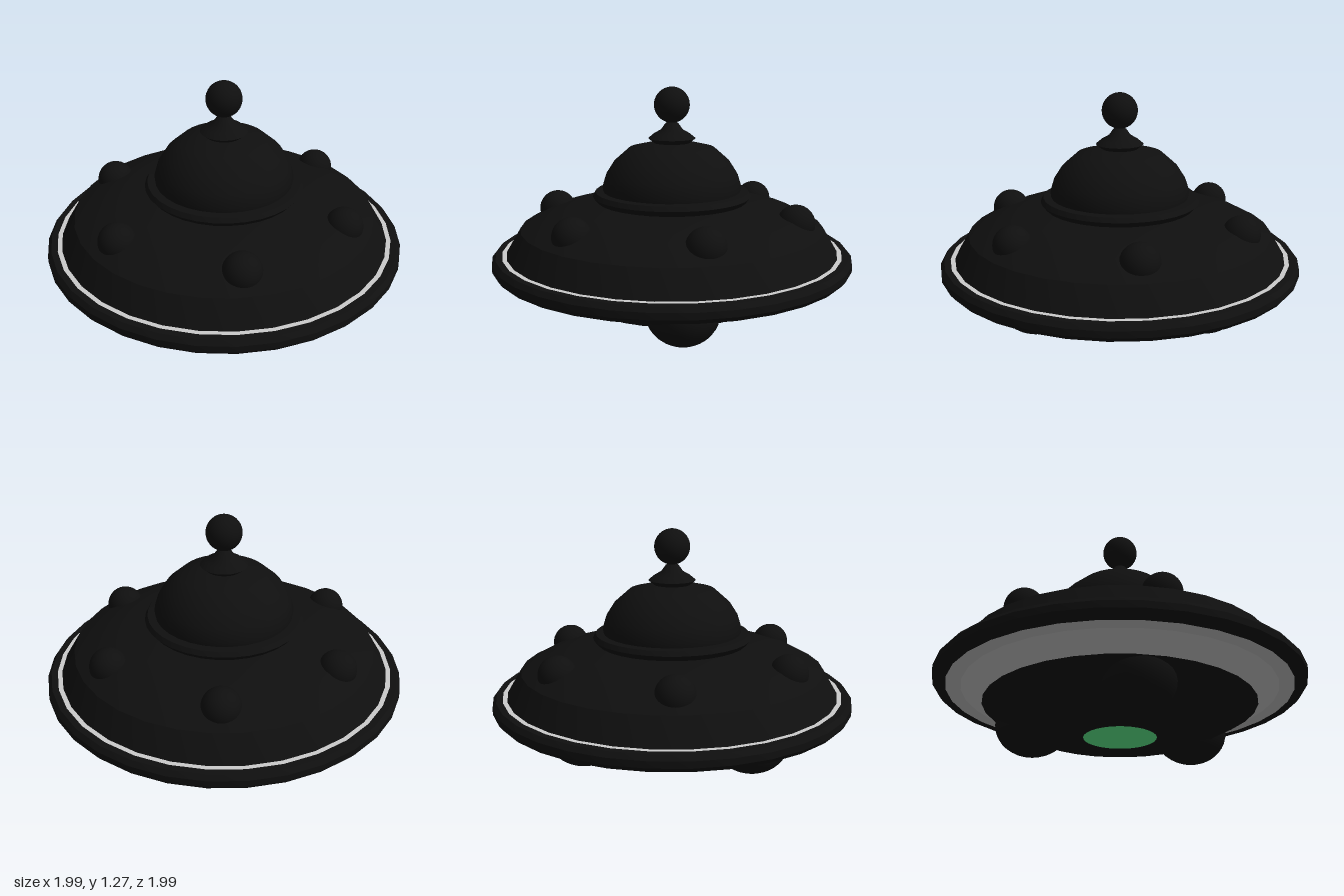
import * as THREE from 'three';
import { toCreasedNormals } from 'three/addons/utils/BufferGeometryUtils.js';

const TURN = THREE.MathUtils.degToRad(-4.9); // heading of the facets and lamps

export function createModel() {
  const model = new THREE.Group();
  model.name = 'flyingSaucer';

  const black = new THREE.MeshStandardMaterial({ color: 0x0f0f0f });
  const grey = new THREE.MeshStandardMaterial({ color: 0xcccccc });
  const green = new THREE.MeshStandardMaterial({ color: 0x66ff95 });

  const add = (name, geometry, material) => {
    const mesh = new THREE.Mesh(geometry, material);
    mesh.name = name;
    model.add(mesh);
    return mesh;
  };

  // Turned part; profile is [radius, height] from the bottom up
  const turned = (name, profile, material, crease = 0.5) => {
    const points = profile.map(([r, y]) => new THREE.Vector2(r, y));
    const geometry = new THREE.LatheGeometry(points, 32, TURN);
    return add(name, toCreasedNormals(geometry, crease), material);
  };

  // Underside: green beam window, dark belly, pale skirt
  turned('beamWindow', [[0, 0.04], [0.195, 0.051]], green);
  turned('belly', [[0.195, 0.051], [0.36, 0.075], [0.53, 0.1], [0.735, 0.215]], black);
  turned('skirt', [[0.735, 0.215], [0.85, 0.29], [0.93, 0.29]], grey);

  // Outer rim with its pale inlay
  turned('rim', [[0.93, 0.29], [0.98, 0.29], [1, 0.315], [1, 0.35], [0.98, 0.375], [0.945, 0.375]], black);
  turned('rimInlay', [[0.945, 0.375], [0.92, 0.375]], grey);

  // Upper hull
  turned('upperHull', [[0.92, 0.375], [0.84, 0.51], [0.7, 0.585], [0.56, 0.625], [0.36, 0.645]], black);

  // Cabin collar, dome and finial
  turned('domeCollar', [[0.36, 0.635], [0.415, 0.65], [0.44, 0.68], [0.425, 0.705], [0.38, 0.708]], black);
  turned('dome', [[0.38, 0.7], [0.385, 0.735], [0.365, 0.8], [0.32, 0.87], [0.235, 0.945],
    [0.13, 0.97], [0, 0.98]], black);
  turned('finialBase', [[0.09, 0.965], [0.13, 0.997], [0.1, 1.022], [0.06, 1.045], [0.035, 1.08], [0, 1.1]], black);
  add('finialBall', new THREE.SphereGeometry(0.098, 32, 20), black).position.y = 1.18;

  // Ring of evenly spaced ellipsoids
  const ringOf = (name, count, start, radius, y, size) => {
    const geometry = new THREE.SphereGeometry(1, 32, 20).scale(...size);
    for (let i = 0; i < count; i++) {
      const a = start + (i * 2 * Math.PI) / count;
      const mesh = add(name + (i + 1), geometry, black);
      mesh.position.set(radius * Math.sin(a), y, radius * Math.cos(a));
      mesh.rotation.y = a;
    }
  };

  // Lamps on the upper hull and landing pods below
  ringOf('hullLamp', 6, TURN, 0.695, 0.56, [0.103, 0.103, 0.103]);
  ringOf('landingPod', 3, THREE.MathUtils.degToRad(-12.5), 0.515, 0.185, [0.195, 0.18, 0.215]);

  return model;
}
